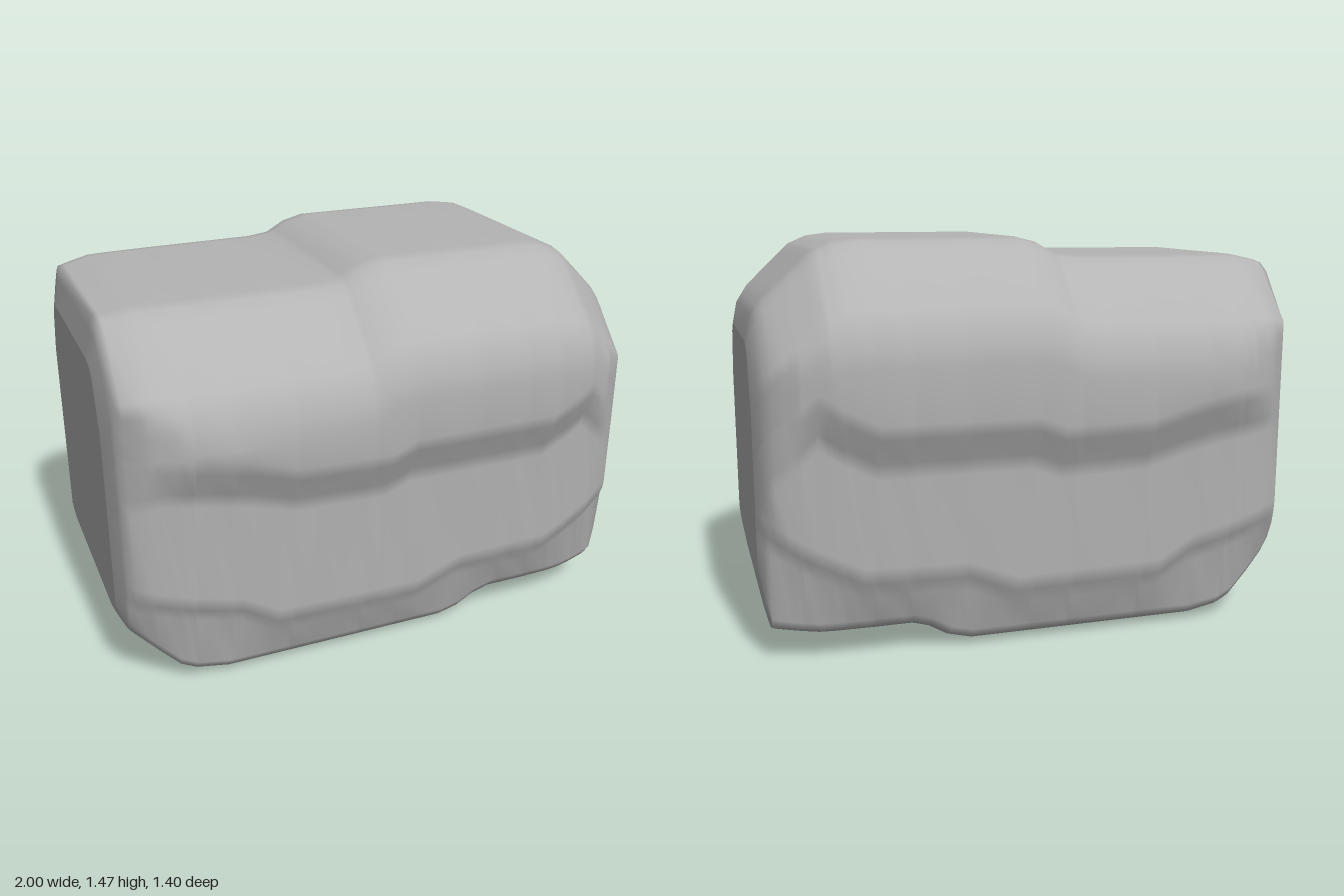
import * as THREE from 'three';

// Piecewise interpolation through [x, value] pairs
function at(keys, x) {
  if (x <= keys[0][0]) return keys[0][1];
  for (let i = 1; i < keys.length; i++) {
    const [x0, v0] = keys[i - 1], [x1, v1] = keys[i];
    if (x <= x1) return v0 + (v1 - v0) * (x - x0) / (x1 - x0);
  }
  return keys[keys.length - 1][1];
}

// Outlines along the length of the boulder
const TOP = [[-1, 1.22], [-0.97, 1.37], [-0.85, 1.395], [-0.2, 1.4], [-0.12, 1.41], [-0.05, 1.45], [0.03, 1.47],
  [0.62, 1.47], [0.7, 1.46], [0.77, 1.43], [0.94, 1.27], [0.98, 1.21], [1, 1.12]];
const BOTTOM = [[-1, 0.28], [-0.97, 0.22], [-0.8, 0.05], [-0.74, 0.02], [-0.62, 0], [0.25, 0], [0.33, 0.02],
  [0.4, 0.06], [0.47, 0.08], [0.8, 0.08], [0.96, 0.1], [0.98, 0.18], [1, 0.3]];
const DEPTH = [[-1, 0.43], [-0.98, 0.52], [-0.95, 0.575], [-0.88, 0.635], [-0.78, 0.68], [-0.62, 0.7],
  [0.62, 0.7], [0.75, 0.685], [0.86, 0.64], [0.94, 0.58], [0.98, 0.52], [1, 0.45]];
// Heights of the two ledges on the long faces
const LEDGE = [[-1, 0.92], [-0.7, 0.88], [-0.55, 0.85], [-0.38, 0.8], [-0.05, 0.79], [0.05, 0.83],
  [0.6, 0.83], [0.72, 0.89], [0.88, 1.0], [1, 1.0]];
const FOOT = [[-1, 0.42], [-0.75, 0.35], [-0.58, 0.31], [-0.45, 0.23], [0.1, 0.22], [0.28, 0.29],
  [0.65, 0.3], [0.85, 0.4], [1, 0.5]];

// Half cross-section from the top edge down to the underside
function halfSection(x, side) {
  const T = at(TOP, x), B = at(BOTTOM, x), Z = at(DEPTH, x);
  const L = Math.min(at(LEDGE, x) - (side < 0 ? 0.04 : 0), T - 0.5);
  const M = Math.max(at(FOOT, x), B + 0.17);
  const squeeze = 0.6 + 0.4 * Z / 0.7;
  return [
    [0.33, T], [0.39, T - 0.01], [0.44, T - 0.04], [0.63, T - 0.22], [0.665, T - 0.27], [0.69, T - 0.34],
    [0.7, T - 0.41], [0.7, L + 0.08], [0.685, L + 0.03], [0.64, L - 0.06], [0.622, L - 0.12],
    [0.622, M + 0.06], [0.605, M], [0.57, M - 0.06], [0.55, B + 0.07], [0.52, B + 0.03], [0.46, B + 0.01], [0.4, B],
  ].map(([z, y]) => [side * Math.min(z * squeeze, Z), y]);
}

function boulderGeometry() {
  // Stations wherever an outline bends, plus even ones between
  const xs = [TOP, BOTTOM, DEPTH, LEDGE, FOOT].flat().map(k => k[0]);
  for (let i = -9; i <= 9; i++) xs.push(i / 10);
  const stations = [...new Set(xs)].sort((a, b) => a - b);
  const pos = [], index = [];
  const rings = stations.map(x => [...halfSection(x, 1), ...halfSection(x, -1).reverse()].map(([z, y]) => [x, y, z]));
  const n = rings[0].length;
  rings.forEach(r => r.forEach(p => pos.push(...p)));
  for (let i = 0; i < rings.length - 1; i++) {
    for (let j = 0; j < n; j++) {
      const a = i * n + j, b = i * n + (j + 1) % n;
      index.push(a, b, b + n, a, b + n, a + n);
    }
  }
  // Flat end faces
  for (const [ring, right] of [[rings[0], false], [rings[rings.length - 1], true]]) {
    const c = pos.length / 3;
    pos.push(ring[0][0], 0.7, 0);
    ring.forEach(p => pos.push(...p));
    for (let j = 0; j < n; j++) {
      const a = c + 1 + j, b = c + 1 + (j + 1) % n;
      index.push(c, ...(right ? [a, b] : [b, a]));
    }
  }
  const g = new THREE.BufferGeometry();
  g.setAttribute('position', new THREE.Float32BufferAttribute(pos, 3));
  g.setIndex(index);
  g.computeVertexNormals();
  return g;
}

export function createModel() {
  const group = new THREE.Group();
  group.name = 'rock';
  const stone = new THREE.MeshStandardMaterial({ color: 0xb4b4b4 });
  stone.name = 'stone grey';
  const boulder = new THREE.Mesh(boulderGeometry(), stone);
  boulder.name = 'boulder';
  group.add(boulder);
  return group;
}
